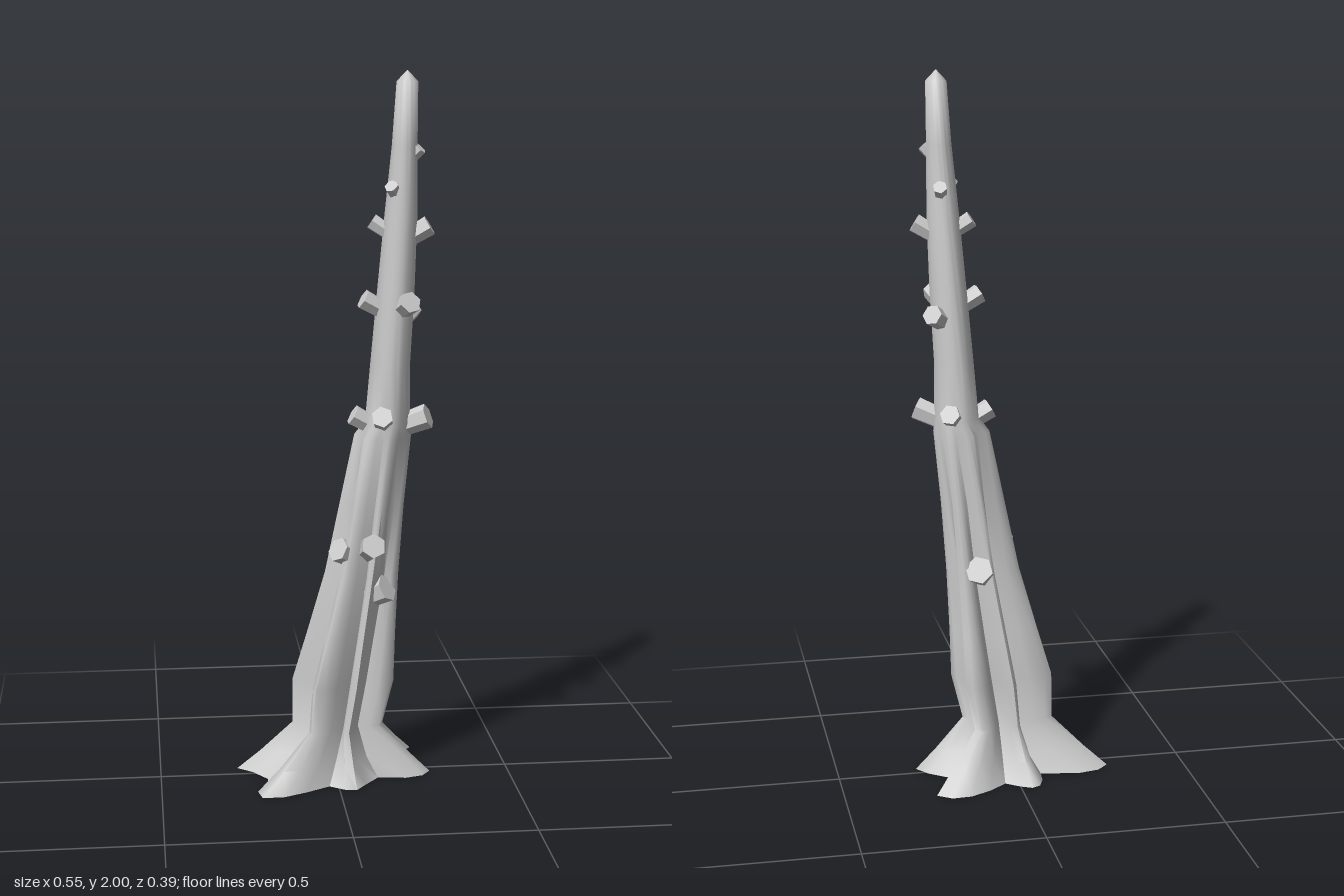
import * as THREE from 'three';
import { toCreasedNormals } from 'three/addons/utils/BufferGeometryUtils.js';

// Root outline on the ground: x, z and how far the point draws inward higher up (1 = valley)
const OUTLINE = [
  [0.275, 0.03, 0], [0.245, -0.01, 0], [0.2, -0.045, 0.5], [0.175, -0.06, 1], [0.205, -0.12, 0.4],
  [0.245, -0.17, 0.05], [0.205, -0.198, 0], [0.15, -0.195, 0.1], [0.09, -0.165, 0.5], [0.04, -0.125, 1],
  [0.0, -0.155, 0.3], [-0.03, -0.17, 0], [-0.055, -0.158, 0.1], [-0.07, -0.12, 0.5], [-0.075, -0.075, 1],
  [-0.185, -0.093, 0.4], [-0.245, -0.08, 0.1], [-0.278, -0.047, 0], [-0.235, -0.01, 0.4], [-0.195, 0.05, 1],
  [-0.2, 0.1, 0.6], [-0.23, 0.145, 0.28], [-0.22, 0.195, 0.28], [-0.16, 0.195, 0.32], [-0.095, 0.165, 0.55],
  [-0.025, 0.125, 1], [0.015, 0.155, 0.2], [0.05, 0.16, 0], [0.08, 0.12, 0.5], [0.12, 0.07, 1],
  [0.2, 0.08, 0.4], [0.25, 0.065, 0],
];

// Trunk sections: y, x range, z range, root shape (1) to round (0), valley depth
const ROWS = [
  [0, -0.277, 0.275, -0.197, 0.197, 1, 0],
  [0.06, -0.21, 0.215, -0.15, 0.165, 1, 0.18],
  [0.15, -0.12, 0.135, -0.093, 0.125, 0.9, 0.4],
  [0.28, -0.12, 0.167, -0.1, 0.137, 0.75, 0.47],
  [0.42, -0.08, 0.17, -0.077, 0.132, 0.6, 0.43],
  [0.6, -0.03, 0.177, -0.055, 0.127, 0.4, 0.34],
  [0.8, 0.01, 0.19, -0.043, 0.132, 0.2, 0.22],
  [1.0, 0.05, 0.208, -0.03, 0.138, 0.05, 0.09],
  [1.04, 0.08, 0.204, -0.022, 0.14, 0, 0],
  [1.2, 0.093, 0.202, -0.012, 0.146, 0, 0],
  [1.4, 0.11, 0.212, 0.003, 0.144, 0, 0],
  [1.6, 0.127, 0.217, 0.026, 0.14, 0, 0],
  [1.8, 0.146, 0.215, 0.048, 0.137, 0, 0],
  [1.97, 0.157, 0.215, 0.06, 0.137, 0, 0],
  [2.0, 0.185, 0.187, 0.097, 0.099, 0, 0],
];

// Centre of the leaning trunk at a height
function axisAt(y) {
  let i = 0;
  while (i < ROWS.length - 2 && ROWS[i + 1][0] < y) i++;
  const a = ROWS[i], b = ROWS[i + 1], t = (y - a[0]) / (b[0] - a[0]);
  const mid = (k) => THREE.MathUtils.lerp(a[k] + a[k + 1], b[k] + b[k + 1], t) / 2;
  return new THREE.Vector3(mid(1), y, mid(3));
}

// Skin over the sections: the root outline turns into an oval going up
function trunkGeometry() {
  const n = OUTLINE.length, pos = [], index = [];
  for (const [y, x0, x1, z0, z1, lobed, depth] of ROWS) {
    for (const [ox, oz, valley] of OUTLINE) {
      const u = ox / 0.2765, v = oz / 0.197;
      const angle = Math.atan2(v, u), pull = depth * valley;
      const px = THREE.MathUtils.lerp(Math.cos(angle), u, lobed) * (1 - pull);
      const pz = THREE.MathUtils.lerp(Math.sin(angle), v, lobed) * (1 - pull);
      // valleys close in on a core that sits a little toward +x
      pos.push((x0 + x1) / 2 + px * (x1 - x0) / 2 + pull * 0.05, y, (z0 + z1) / 2 + pz * (z1 - z0) / 2);
    }
  }
  for (let r = 0; r < ROWS.length - 1; r++) {
    for (let j = 0; j < n; j++) {
      const a = r * n + j, b = r * n + (j + 1) % n;
      index.push(a, b, a + n, b, b + n, a + n);
    }
  }
  const g = new THREE.BufferGeometry();
  g.setAttribute('position', new THREE.Float32BufferAttribute(pos, 3));
  g.setIndex(index);
  return toCreasedNormals(g, 1.1);
}

// Sawn branch stubs: tip x, y, z and radius
const STUBS = [
  [0.22, 1.795, 0.11, 0.02], [0.14, 1.695, 0.13, 0.02], [0.19, 1.69, 0.02, 0.02],
  [0.095, 1.595, 0.065, 0.024], [0.25, 1.585, 0.095, 0.029],
  [0.07, 1.385, 0.08, 0.029], [0.19, 1.385, 0.165, 0.031], [0.22, 1.345, -0.012, 0.029],
  [0.045, 1.06, 0.06, 0.03], [0.115, 1.07, 0.158, 0.03], [0.25, 1.06, 0.1, 0.035],
  [0.175, 1.065, -0.025, 0.029],
  [0.0, 0.685, 0.095, 0.035], [0.095, 0.705, 0.145, 0.035],
  [0.14, 0.57, 0.09, 0.04], [0.1, 0.62, -0.055, 0.04],
];

export function createModel() {
  const model = new THREE.Group();
  model.name = 'deadTree';

  const bark = new THREE.MeshStandardMaterial({ color: 0xcccccc, side: THREE.DoubleSide });
  const trunk = new THREE.Mesh(trunkGeometry(), bark);
  trunk.name = 'trunkWithRoots';
  model.add(trunk);

  const stubs = new THREE.Group();
  stubs.name = 'branchStubs';
  const cut = new THREE.MeshStandardMaterial({ color: 0xcccccc, flatShading: true });
  STUBS.forEach(([x, y, z, r], i) => {
    const tip = new THREE.Vector3(x, y, z), root = axisAt(y - 0.05);
    const dir = tip.clone().sub(root), length = dir.length();
    const stub = new THREE.Mesh(new THREE.CylinderGeometry(r, r * 0.85, length, 6), cut);
    stub.name = 'branchStub' + (i + 1);
    stub.position.copy(root).add(tip).multiplyScalar(0.5);
    stub.quaternion.setFromUnitVectors(new THREE.Vector3(0, 1, 0), dir.normalize());
    stubs.add(stub);
  });
  model.add(stubs);
  return model;
}
